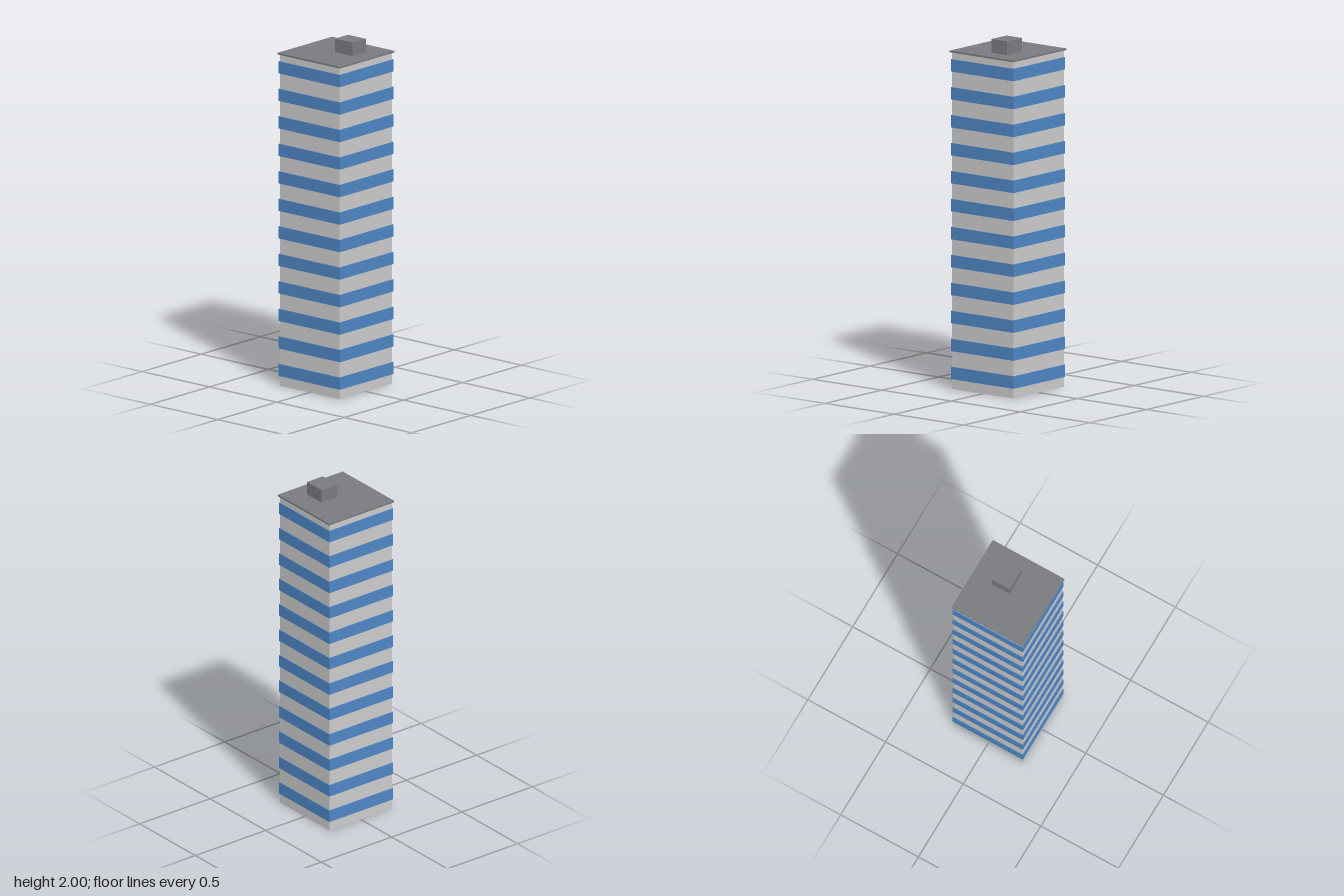
import * as THREE from 'three';

export function createModel() {
  const group = new THREE.Group();
  group.name = 'towerBlock';

  const wall = new THREE.MeshStandardMaterial({ color: 0xcccccc });
  const glass = new THREE.MeshStandardMaterial({ color: 0x4e86c5 });
  const roof = new THREE.MeshStandardMaterial({ color: 0x7a7b7f });

  // Box standing on height y
  function addBox(name, material, [w, h, d], [x, y, z]) {
    const mesh = new THREE.Mesh(new THREE.BoxGeometry(w, h, d), material);
    mesh.name = name;
    mesh.position.set(x, y + h / 2, z);
    group.add(mesh);
  }

  // Main shaft
  addBox('walls', wall, [0.444, 1.914, 0.444], [0, 0, 0]);

  // Window bands wrapping every floor
  const floors = 12, pitch = 0.1588;
  for (let i = 0; i < floors; i++) {
    addBox(`windowBand${i + 1}`, glass, [0.453, 0.07, 0.453], [0, 0.056 + i * pitch, 0]);
  }

  // Roof slab and rooftop plant room
  addBox('roofSlab', roof, [0.462, 0.01, 0.462], [0, 1.912, 0]);
  addBox('plantRoom', roof, [0.132, 0.078, 0.112], [0.066, 1.922, -0.046]);

  return group;
}
